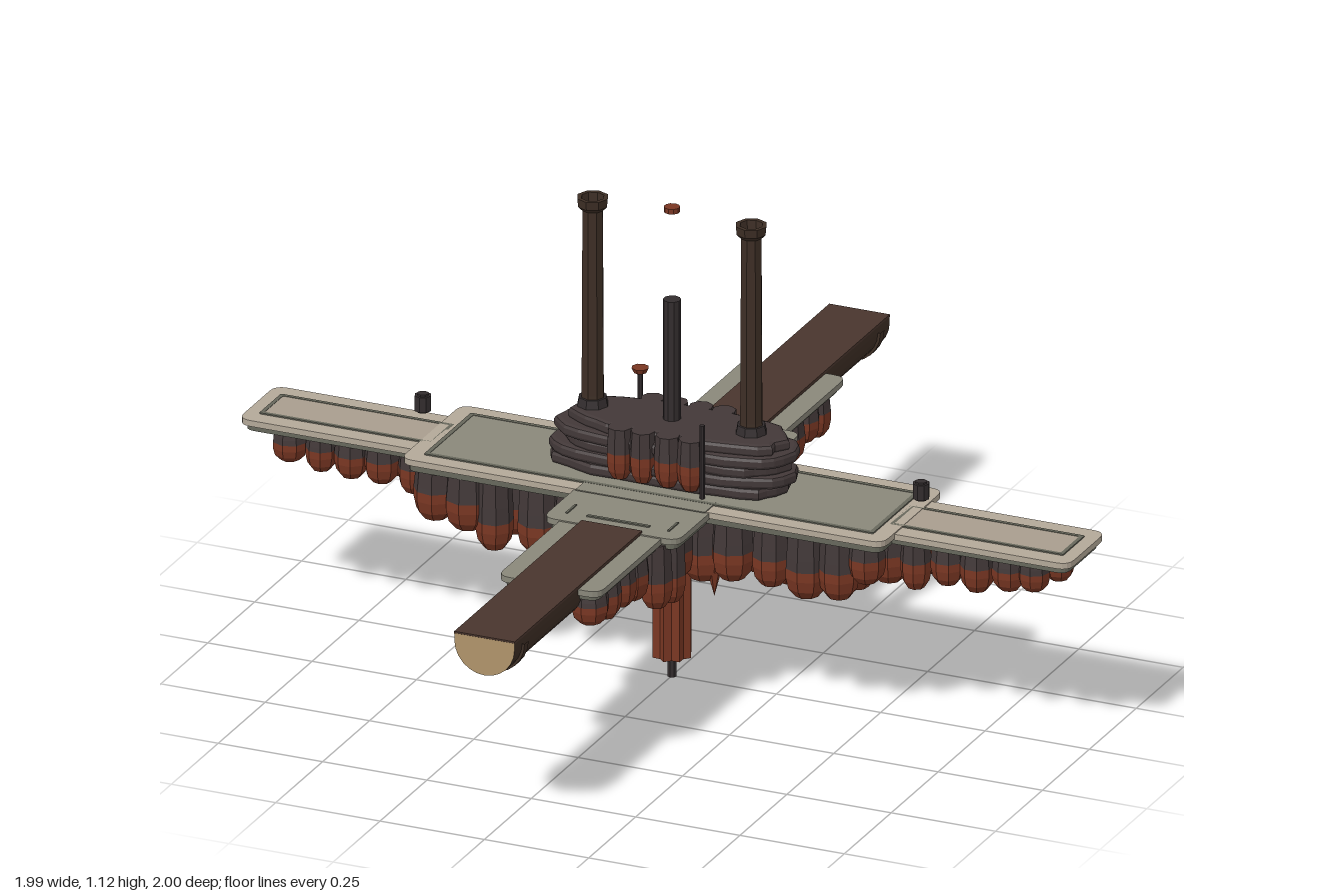
import * as THREE from 'three';

const mat = (name, color) => {
  const m = new THREE.MeshStandardMaterial({ color });
  m.name = name;
  return m;
};

export function createModel() {
  const model = new THREE.Group();
  model.name = 'floatingDock';
  const M = {
    tan: mat('paleStone', 0xb3a898),
    panel: mat('panelStone', 0xa89d8e),
    grey: mat('greyStone', 0x89877a),
    under: mat('deckUnderside', 0x66675b),
    rock: mat('darkRock', 0x423838),
    rust: mat('rustRock', 0x7a3723),
    log: mat('logBrown', 0x49352d),
    bark: mat('bark', 0x3d2e25),
    cut: mat('cutWood', 0xb0946a),
    iron: mat('iron', 0x332d2e),
  };
  for (const k of ['rock', 'rust', 'bark', 'iron']) M[k].flatShading = true;

  let seed = 7;
  const rnd = () => (seed = (seed * 16807) % 2147483647) / 2147483647;
  const add = (name, geo, material, x = 0, y = 0, z = 0, parent = model) => {
    const m = new THREE.Mesh(geo, material);
    m.name = name;
    m.position.set(x, y, z);
    parent.add(m);
    return m;
  };
  const rounded = (hx, hz, r, target = new THREE.Shape()) => {
    target.moveTo(-hx + r, -hz);
    target.lineTo(hx - r, -hz).quadraticCurveTo(hx, -hz, hx, -hz + r);
    target.lineTo(hx, hz - r).quadraticCurveTo(hx, hz, hx - r, hz);
    target.lineTo(-hx + r, hz).quadraticCurveTo(-hx, hz, -hx, hz - r);
    target.lineTo(-hx, -hz + r).quadraticCurveTo(-hx, -hz, -hx + r, -hz);
    return target;
  };
  // Horizontal plate from y0 to y1 cut from a plan shape
  const plate = (name, shape, y0, y1, material, x = 0, z = 0) => {
    const g = new THREE.ExtrudeGeometry(shape, { depth: y1 - y0, bevelEnabled: false, curveSegments: 4 });
    g.rotateX(-Math.PI / 2);
    return add(name, g, material, x, y0, z);
  };
  const slab = (name, hx, hz, top, material, x = 0, z = 0) => {
    plate(name, rounded(hx, hz, 0.03), top - 0.014, top, material, x, z);
    plate(name + 'Underside', rounded(hx - 0.01, hz - 0.01, 0.025), 0.448, top - 0.014, M.under, x, z);
  };
  const frame = (name, hx, hz, w, y, x = 0) => {
    const s = rounded(hx, hz, 0.004);
    s.holes.push(rounded(hx - w, hz - w, 0.003, new THREE.Path()));
    plate(name, s, y, y + 0.003, M.under, x);
  };

  // Cross-shaped deck
  slab('centreDeck', 0.578, 0.163, 0.479, M.tan);
  plate('centrePanel', rounded(0.53, 0.118, 0.01), 0.479, 0.481, M.grey);
  frame('centrePanelLine', 0.538, 0.125, 0.01, 0.479);
  for (const s of [1, -1]) {
    slab('wingDeck', 0.235, 0.1, 0.476, M.tan, s * 0.76);
    plate('wingPanel', rounded(0.2, 0.05, 0.005), 0.476, 0.478, M.panel, s * 0.755);
    frame('wingPanelLine', 0.208, 0.058, 0.009, 0.476, s * 0.755);
    slab('innerArmDeck', 0.162, 0.12, 0.477, M.grey, 0, s * 0.21);
    slab('outerArmDeck', 0.122, 0.2, 0.474, M.grey, 0, s * 0.46);
    add('armLine', new THREE.BoxGeometry(0.15, 0.004, 0.008), M.under, 0, 0.478, s * 0.285);
    for (const t of [1, -1])
      add('armNotch', new THREE.BoxGeometry(0.005, 0.004, 0.05), M.under, t * 0.122, 0.478, s * 0.265);
    // Grey arm surface running into the centre panel
    plate('armPanel', rounded(0.155, 0.035, 0.002), 0.479, 0.4815, M.grey, 0, s * 0.135);
  }

  // Split logs on the front and back arms
  const half = new THREE.Shape();
  half.moveTo(-0.072, 0.478);
  for (let i = 0; i <= 12; i++) {
    const a = Math.PI * (1 + i / 12);
    half.lineTo(0.072 * Math.cos(a), 0.462 + 0.072 * Math.sin(a));
  }
  half.lineTo(0.072, 0.478);
  for (const s of [1, -1]) {
    const g = new THREE.ExtrudeGeometry(half, { depth: 0.68, bevelEnabled: false });
    add('splitLog', g, [M.cut, M.bark], 0, 0, s > 0 ? 0.32 : -1);
    add('logTop', new THREE.BoxGeometry(0.145, 0.006, 0.679), M.log, 0, 0.479, s * 0.66);
    const ring = new THREE.CylinderGeometry(0.078, 0.078, 0.022, 12, 1, false, Math.PI / 2, Math.PI);
    ring.rotateX(Math.PI / 2);
    // Keep the lower half of the band under the log
    ring.rotateZ(new THREE.Box3().setFromBufferAttribute(ring.attributes.position).max.y > 0.05 ? Math.PI : 0);
    add('logBand', ring, M.bark, 0, 0.462, s * 0.948);
  }

  // Hanging rock columns with rust-coloured domed tips
  const lathe = (pts) => new THREE.LatheGeometry(pts.map(([r, y]) => new THREE.Vector2(r, y)), 8);
  const column = (x, z, bottom, r, top = 0.456) => {
    const c = new THREE.Group();
    c.name = 'hangingRock';
    c.position.set(x, 0, z);
    c.rotation.y = rnd() * 0.8;
    const h = Math.min(0.055 + r * 0.4, (top - bottom) * 0.6);
    add('rockTip', lathe([[0, bottom], [r * 0.55, bottom + h * 0.08], [r * 0.88, bottom + h * 0.35],
      [r, bottom + h * 0.7], [r, bottom + h]]), M.rust, 0, 0, 0, c);
    add('rockShaft', lathe([[r, bottom + h], [r * 0.97, (bottom + top) / 2 + 0.02], [r * 0.88, top], [0, top]]),
      M.rock, 0, 0, 0, c);
    model.add(c);
  };
  const wingRow = [[0.9, 0.35], [0.825, 0.352], [0.75, 0.35], [0.675, 0.335], [0.6, 0.322]];
  const midRow = [[0.52, 0.315], [0.45, 0.285], [0.37, 0.272], [0.28, 0.27], [0.2, 0.285]];
  const armRow = [[0.595, 0.345], [0.525, 0.35], [0.45, 0.325], [0.38, 0.325], [0.305, 0.29], [0.23, 0.268]];
  for (const s of [1, -1]) {
    for (const [x, b] of wingRow)
      for (const t of [1, -1])
        column(s * x + (rnd() - 0.5) * 0.02, t * 0.05, b + rnd() * 0.03, 0.034 + rnd() * 0.006);
    for (const [x, b] of midRow)
      for (const z of [-0.105, 0, 0.105])
        column(s * x + (rnd() - 0.5) * 0.02, z, b + (z ? rnd() * 0.04 : 0), 0.042 + rnd() * 0.01);
    for (const [z, b] of armRow)
      for (const t of [1, -1])
        column(t * (z < 0.33 ? 0.1 : 0.075), s * z + (rnd() - 0.5) * 0.015, b + rnd() * 0.03, 0.036 + rnd() * 0.007);
    column(0, s * 0.25, 0.285, 0.05);
  }
  for (let i = 0; i < 8; i++) {
    const a = (i + 0.5) * Math.PI / 4;
    column(0.1 * Math.cos(a), 0.1 * Math.sin(a), 0.26 + (i % 3) * 0.012, 0.05);
    const fang = new THREE.ConeGeometry(0.016, 0.06, 6);
    fang.rotateX(Math.PI);
    add('rockFang', fang, M.rust, 0.135 * Math.cos(a), 0.262, 0.135 * Math.sin(a));
  }

  // Ribbed keel with a pin beneath
  const star = new THREE.Shape();
  for (let i = 0; i < 16; i++) {
    const a = i * Math.PI / 8, r = i % 2 ? 0.036 : 0.046;
    star[i ? 'lineTo' : 'moveTo'](r * Math.cos(a), r * Math.sin(a));
  }
  plate('keel', star, 0.05, 0.42, M.rust);
  add('keelPin', new THREE.CylinderGeometry(0.011, 0.011, 0.06, 8), M.iron, 0, 0.03);

  // Mound of stacked, uneven rock layers
  const layers = [[0.275, 0.085, 0.485, 0], [0.28, 0.09, 0.512, 0.005], [0.255, 0.085, 0.537, 0.02],
    [0.275, 0.09, 0.561, 0.01], [0.25, 0.08, 0.586, 0.02]];
  for (const [hx, hz, y, dx] of layers) {
    const s = new THREE.Shape();
    for (let i = 0; i < 28; i++) {
      const a = i * Math.PI / 14, c = Math.cos(a), n = Math.sin(a), k = 0.93 + rnd() * 0.08;
      s[i ? 'lineTo' : 'moveTo'](hx * k * Math.sign(c) * Math.abs(c) ** 0.7, hz * k * Math.sign(n) * Math.abs(n) ** 0.7);
    }
    const g = new THREE.ExtrudeGeometry(s, { depth: 0.012, bevelThickness: 0.009, bevelSize: 0.011, bevelSegments: 2 });
    g.rotateX(-Math.PI / 2);
    add('moundLayer', g, M.rock, dx, y + 0.005);
  }
  for (const s of [1, -1])
    for (const x of [-0.085, -0.03, 0.03, 0.085]) column(x, s * 0.088, 0.487, 0.031, 0.612);

  // Two chimneys, each with a flared rim
  for (const s of [1, -1]) {
    add('chimney', lathe([[0.029, 0.59], [0.026, 0.64], [0.024, 1.075], [0.034, 1.085], [0.036, 1.105],
      [0.026, 1.105], [0.022, 1.06], [0, 1.06]]), M.bark, s * 0.19);
    add('chimneyFoot', new THREE.CylinderGeometry(0.032, 0.036, 0.02, 8), M.iron, s * 0.19, 0.622);
    add('lantern', new THREE.CylinderGeometry(0.019, 0.019, 0.036, 8), M.iron, s * 0.597, 0.545);
    add('lanternCore', new THREE.CylinderGeometry(0.013, 0.013, 0.044, 8), M.iron, s * 0.597, 0.545);
  }

  // Centre post, floating disc and thin rods
  add('centrePost', new THREE.CylinderGeometry(0.02, 0.02, 0.3, 10), M.iron, 0, 0.745);
  add('floatingDisc', new THREE.CylinderGeometry(0.018, 0.018, 0.012, 10), M.rust, 0, 1.109);
  add('backRod', new THREE.CylinderGeometry(0.006, 0.006, 0.19, 6), M.iron, -0.122, 0.57, -0.102);
  add('backRodCap', new THREE.CylinderGeometry(0.02, 0.014, 0.012, 8), M.rust, -0.122, 0.666, -0.102);
  add('frontRod', new THREE.CylinderGeometry(0.006, 0.006, 0.18, 6), M.iron, 0.118, 0.565, 0.102);
  return model;
}
